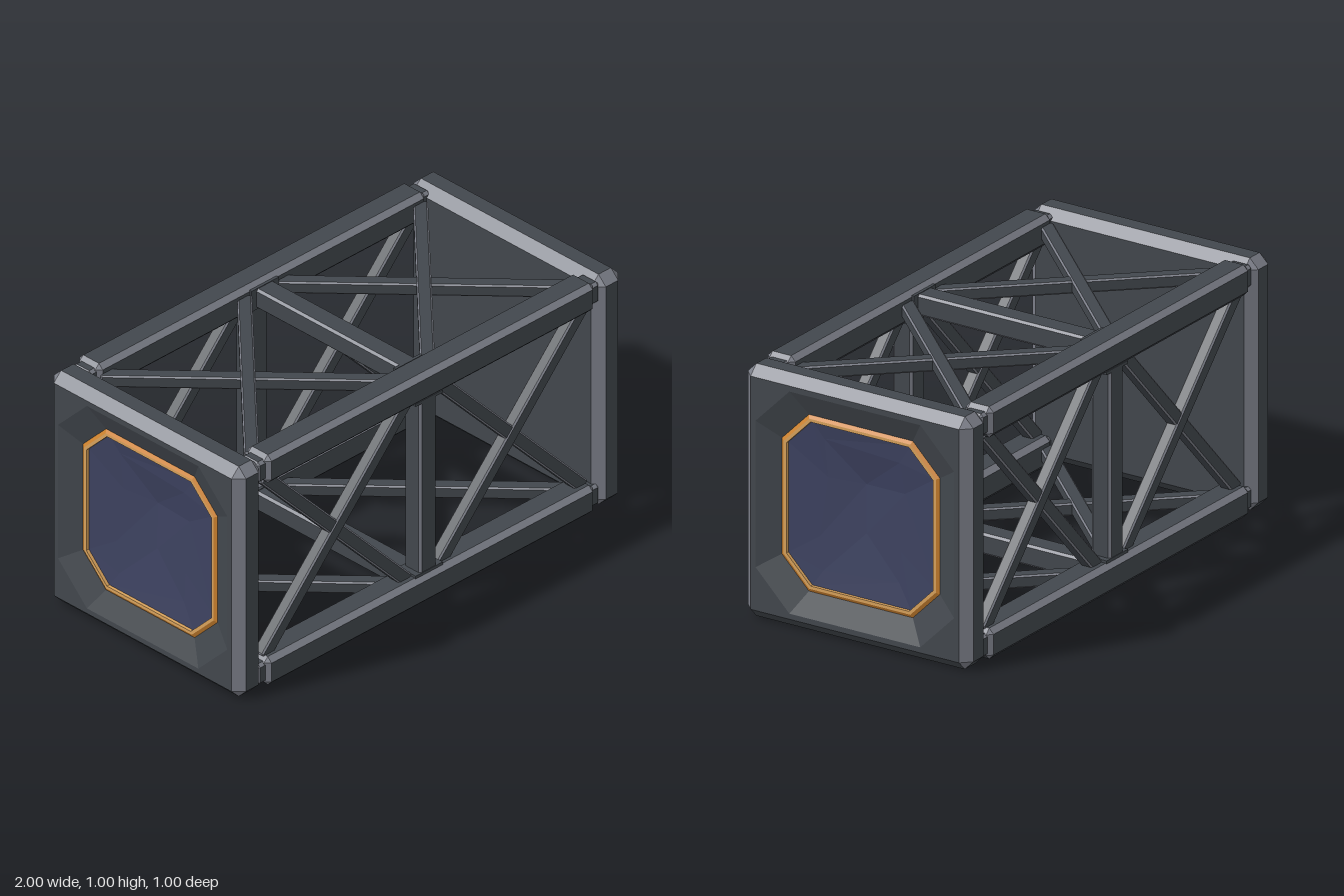
import * as THREE from 'three';

const mat = (name, color) => Object.assign(new THREE.MeshStandardMaterial({ color }), { name });

// Non-indexed geometry from triangles, with flat normals
function fromTriangles(points) {
  const g = new THREE.BufferGeometry().setFromPoints(points);
  g.computeVertexNormals();
  return g;
}

// Box with bevelled edges; group 0 = flat faces, group 1 = bevels.
// darkBottom puts the downward bevels in group 0, openFront omits the +z face.
function bevelBox(w, h, d, c, { darkBottom = false, openFront = false } = {}) {
  const half = [w / 2, h / 2, d / 2];
  const lists = [[], []];
  // Corner point lying on the face of the given axis
  const corner = (s, axis) => new THREE.Vector3(...s.map((v, i) => v * (half[i] - (i === axis ? 0 : c))));
  const tri = (list, a, b, e) => {
    const n = b.clone().sub(a).cross(e.clone().sub(a));
    if (n.dot(a.clone().add(b).add(e)) < 0) list.push(a, e, b);
    else list.push(a, b, e);
  };
  const quad = (list, a, b, e, f) => { tri(list, a, b, e); tri(list, a, e, f); };
  const sign = [-1, 1];
  for (let a = 0; a < 3; a++) {
    const b = (a + 1) % 3, e = (a + 2) % 3;
    const at = (sa, sb, se, axis) => {
      const s = [];
      s[a] = sa; s[b] = sb; s[e] = se;
      return corner(s, axis);
    };
    for (const s of sign) {
      if (!(openFront && a === 2 && s === 1))
        quad(lists[0], at(s, -1, -1, a), at(s, 1, -1, a), at(s, 1, 1, a), at(s, -1, 1, a));
      for (const t of sign) {
        const down = (a === 1 && s < 0) || (b === 1 && t < 0);
        quad(lists[darkBottom && down ? 0 : 1],
          at(s, t, -1, a), at(s, t, 1, a), at(s, t, 1, b), at(s, t, -1, b));
      }
    }
  }
  for (const x of sign) for (const y of sign) for (const z of sign)
    tri(lists[1], corner([x, y, z], 0), corner([x, y, z], 1), corner([x, y, z], 2));
  const g = fromTriangles([...lists[0], ...lists[1]]);
  g.addGroup(0, lists[0].length, 0);
  g.addGroup(lists[0].length, lists[1].length, 1);
  return g;
}

// Cut-corner square, counter-clockwise: half size h, straight half side k
const octagon = (h, k, z = 0) =>
  [[h, -k], [h, k], [k, h], [-k, h], [-h, k], [-h, -k], [-k, -h], [k, -h]]
    .map(([x, y]) => new THREE.Vector3(x, y, z));

// Triangles between an outer and an inner loop
function band(outer, inner) {
  const out = [];
  outer.forEach((p, i) => {
    const j = (i + 1) % outer.length;
    out.push(p, outer[j], inner[j], p, inner[j], inner[i]);
  });
  return out;
}

export function createModel() {
  const dark = mat('darkMetal', 0x42474d);
  const edge = mat('edgeMetal', 0x7c7f89);
  const gold = mat('goldTrim', 0xd8a25c);
  const amber = mat('amberBevel', 0xd08430);
  const glass = mat('indigoGlass', 0x3d4260);
  const metal = [dark, edge];

  const model = new THREE.Group();
  model.name = 'trussSegment';
  const add = (parent, name, geometry, material, x = 0, y = 0, z = 0) => {
    const m = new THREE.Mesh(geometry, material);
    m.name = name;
    m.position.set(x, y, z);
    parent.add(m);
    return m;
  };

  // End caps, modelled facing +z and turned outward
  const T = 0.07, C = 0.038, R = 0.5 - C;
  const capGeo = bevelBox(1, 1, 2 * T, C, { darkBottom: true, openFront: true });
  const faceShape = new THREE.Shape([[-R, -R], [R, -R], [R, R], [-R, R]].map(p => new THREE.Vector2(...p)));
  faceShape.holes.push(new THREE.Path(octagon(0.44, 0.29).map(p => new THREE.Vector2(p.x, p.y))));
  const faceGeo = new THREE.ShapeGeometry(faceShape);
  const recessGeo = fromTriangles(band(octagon(0.44, 0.29, T), octagon(0.35, 0.23, T - 0.04)));
  const bevelGeo = fromTriangles(band(octagon(0.35, 0.23, T - 0.04), octagon(0.337, 0.224, T - 0.032)));
  const trimGeo = fromTriangles([
    ...band(octagon(0.337, 0.224, T - 0.032), octagon(0.325, 0.218, T - 0.032)),
    ...band(octagon(0.325, 0.218, T - 0.032), octagon(0.325, 0.218, T - 0.045)),
  ]);

  // Faceted, dented window
  const rim = octagon(0.325, 0.218, T - 0.045);
  const scale = [0.5, 0.55, 0.75, 0.8, 0.5, 0.6, 0.8, 0.72];
  const depth = [0.06, 0.065, 0.052, 0.057, 0.064, 0.058, 0.053, 0.058];
  const mid = rim.map((p, i) => new THREE.Vector3(p.x * scale[i], p.y * scale[i], T - depth[i]));
  const high = new THREE.Vector3(-0.005, 0.11, T - 0.085);
  const low = new THREE.Vector3(0.002, -0.08, T - 0.075);
  const tris = band(rim, mid);
  mid.forEach((p, i) => {
    const q = mid[(i + 1) % 8];
    tris.push(p, q, i >= 1 && i <= 4 ? high : low);
  });
  tris.push(mid[1], high, low, mid[5], low, high);
  const windowGeo = fromTriangles(tris);

  for (const s of [1, -1]) {
    const cap = new THREE.Group();
    cap.name = s > 0 ? 'leftEndCap' : 'rightEndCap';
    cap.position.set(s * (1 - T), 0.5, 0);
    cap.rotation.y = s * Math.PI / 2;
    add(cap, 'capBody', capGeo, metal);
    add(cap, 'capFace', faceGeo, dark, 0, 0, T);
    add(cap, 'recess', recessGeo, dark);
    add(cap, 'trimBevel', bevelGeo, amber);
    add(cap, 'trim', trimGeo, gold);
    add(cap, 'window', windowGeo, glass);
    model.add(cap);
  }

  // Four long beams with narrower end connectors
  const beamGeo = bevelBox(1.7, 0.122, 0.122, 0.02, { darkBottom: true });
  const jointGeo = bevelBox(0.06, 0.09, 0.09, 0.012);
  for (const y of [0.061, 0.939]) for (const z of [-0.439, 0.439]) {
    add(model, 'longBeam', beamGeo, metal, 0, y, z);
    for (const s of [1, -1]) add(model, 'beamJoint', jointGeo, metal, s * 0.855, y, z);
  }

  // Middle post and crossed braces, repeated around all four sides
  const postGeo = bevelBox(0.09, 0.76, 0.085, 0.009);
  const footGeo = new THREE.BoxGeometry(0.14, 0.012, 0.09);
  const braceGeo = bevelBox(1.08, 0.055, 0.05, 0.006);
  for (let i = 0; i < 4; i++) {
    const side = new THREE.Group();
    side.name = ['front', 'bottom', 'back', 'top'][i] + 'Lattice';
    side.position.y = 0.5;
    side.rotation.x = i * Math.PI / 2;
    add(side, 'post', postGeo, metal, 0, 0, 0.44);
    for (const s of [1, -1]) {
      add(side, 'postFoot', footGeo, dark, 0, s * 0.374, 0.44);
      for (const t of [1, -1])
        add(side, 'brace', braceGeo, metal, s * 0.455, 0, 0.44 + t * 0.002).rotation.z = t * Math.atan2(0.76, 0.72);
    }
    model.add(side);
  }
  return model;
}
